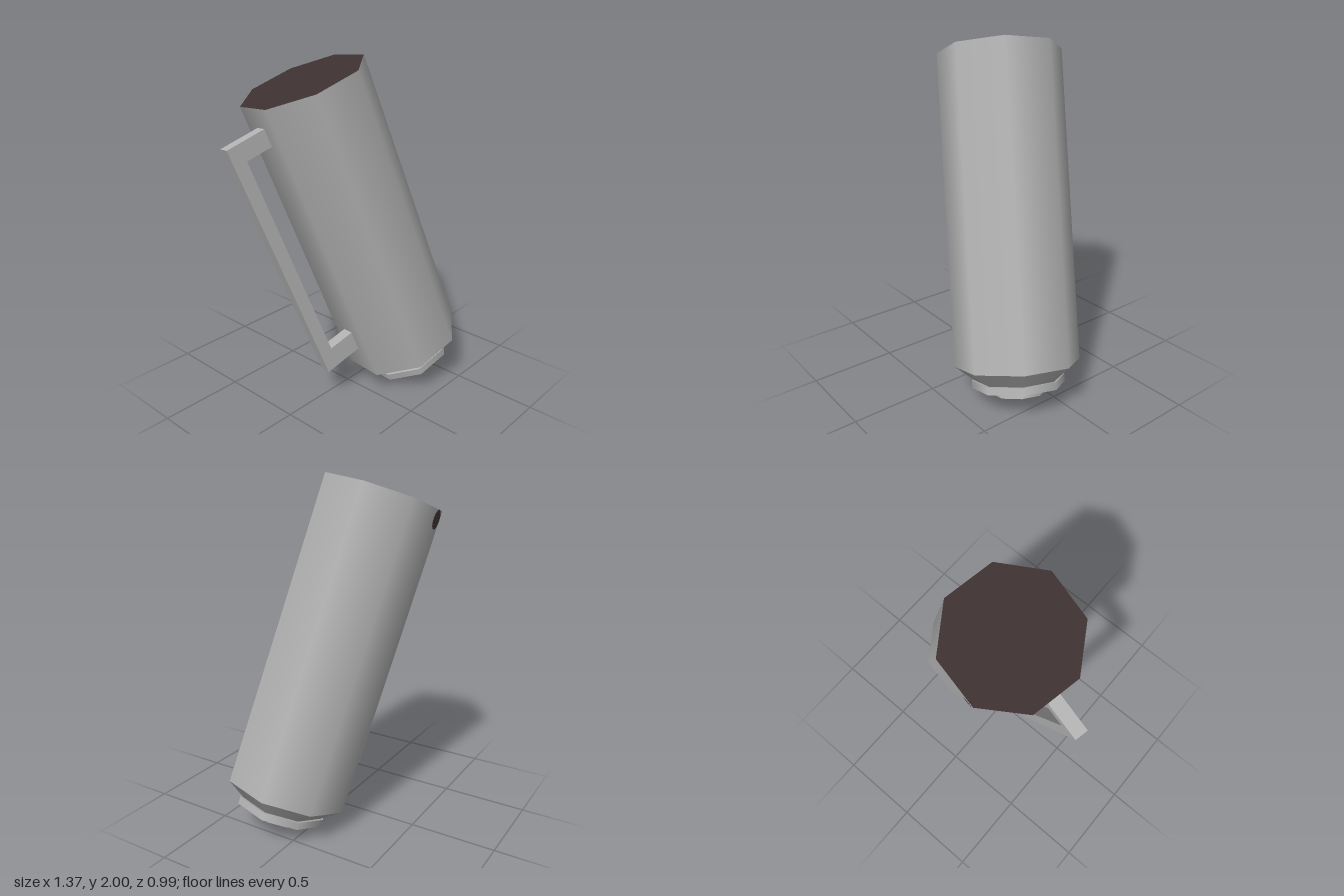
import * as THREE from 'three';

const R = 0.357; // body radius
const SIDES = 8;

export function createModel() {
  const grey = new THREE.MeshStandardMaterial({ color: 0xb2b2b3 });
  grey.name = 'body grey';
  const dark = new THREE.MeshStandardMaterial({ color: 0x3d3130 });
  dark.name = 'dark brown';
  const greyInside = grey.clone();
  greyInside.name = 'body grey';
  greyInside.side = THREE.BackSide;

  const root = new THREE.Group();
  root.name = 'tiltedPitcher';
  const jug = new THREE.Group();
  jug.name = 'pitcher';
  root.add(jug);

  const add = (name, geometry, material) => {
    const mesh = new THREE.Mesh(geometry, material);
    mesh.name = name;
    jug.add(mesh);
    return mesh;
  };
  // Octagonal section between two heights, measured down from the top face
  const section = (name, rTop, rBottom, top, bottom, open, material = grey) => {
    const g = new THREE.CylinderGeometry(rTop, rBottom, top - bottom, SIDES, 1, open);
    return add(name, g.translate(0, (top + bottom) / 2, 0), material);
  };

  // Body, shoulder and flange
  section('body', R, R, 0, -1.771, true);
  section('shoulder', R, 0.245, -1.771, -1.858, true);
  const flange = new THREE.RingGeometry(0.12, 0.265, SIDES);
  section('flangeRim', 0.265, 0.265, -1.855, -1.897, true);
  add('flangeTop', flange.clone().rotateX(-Math.PI / 2).translate(0, -1.855, 0), grey);
  add('flangeUnderside', flange.rotateX(Math.PI / 2).translate(0, -1.897, 0), grey);

  // Hollow mouth
  section('mouthWall', 0.15, 0.15, -1.89, -1.943, true);
  section('mouthInside', 0.122, 0.122, -1.6, -1.943, true, greyInside);
  add('mouthLip', new THREE.RingGeometry(0.122, 0.15, SIDES).rotateX(Math.PI / 2).translate(0, -1.943, 0), grey);
  add('mouthFloor', new THREE.CircleGeometry(0.122, SIDES).rotateX(Math.PI / 2).translate(0, -1.6, 0), grey);

  // Dark end face and the small mark below its edge
  add('endFace', new THREE.CircleGeometry(R, SIDES).rotateX(-Math.PI / 2), dark);
  const mark = add('edgeMark', new THREE.CircleGeometry(1, 16)
    .scale(0.028, 0.055, 1).translate(0.105, -0.055, R * Math.cos(Math.PI / 8) + 0.004), dark);
  mark.rotation.y = Math.PI * 7 / 8;

  // Bracket handle on the middle of one flat side
  const shape = new THREE.Shape([
    [0.31, -0.114], [0.566, -0.114], [0.566, -1.6], [0.31, -1.6],
    [0.31, -1.475], [0.49, -1.475], [0.49, -0.217], [0.31, -0.217],
  ].map(([x, y]) => new THREE.Vector2(x, y)));
  const handle = add('handle', new THREE.ExtrudeGeometry(shape, { depth: 0.074, bevelEnabled: false })
    .translate(0, 0, -0.037), grey);
  handle.rotation.y = Math.PI * 7 / 8;

  // Tilt the whole pitcher
  const up = new THREE.Vector3(-0.54, 1.66, -0.30).normalize();
  const side = new THREE.Vector3(0.335, 0.095, -0.078);
  side.addScaledVector(up, -side.dot(up)).normalize();
  const forward = new THREE.Vector3().crossVectors(side, up);
  jug.quaternion.setFromRotationMatrix(new THREE.Matrix4().makeBasis(side, up, forward));
  jug.position.set(-0.19, 1.875, -0.152);
  return root;
}
